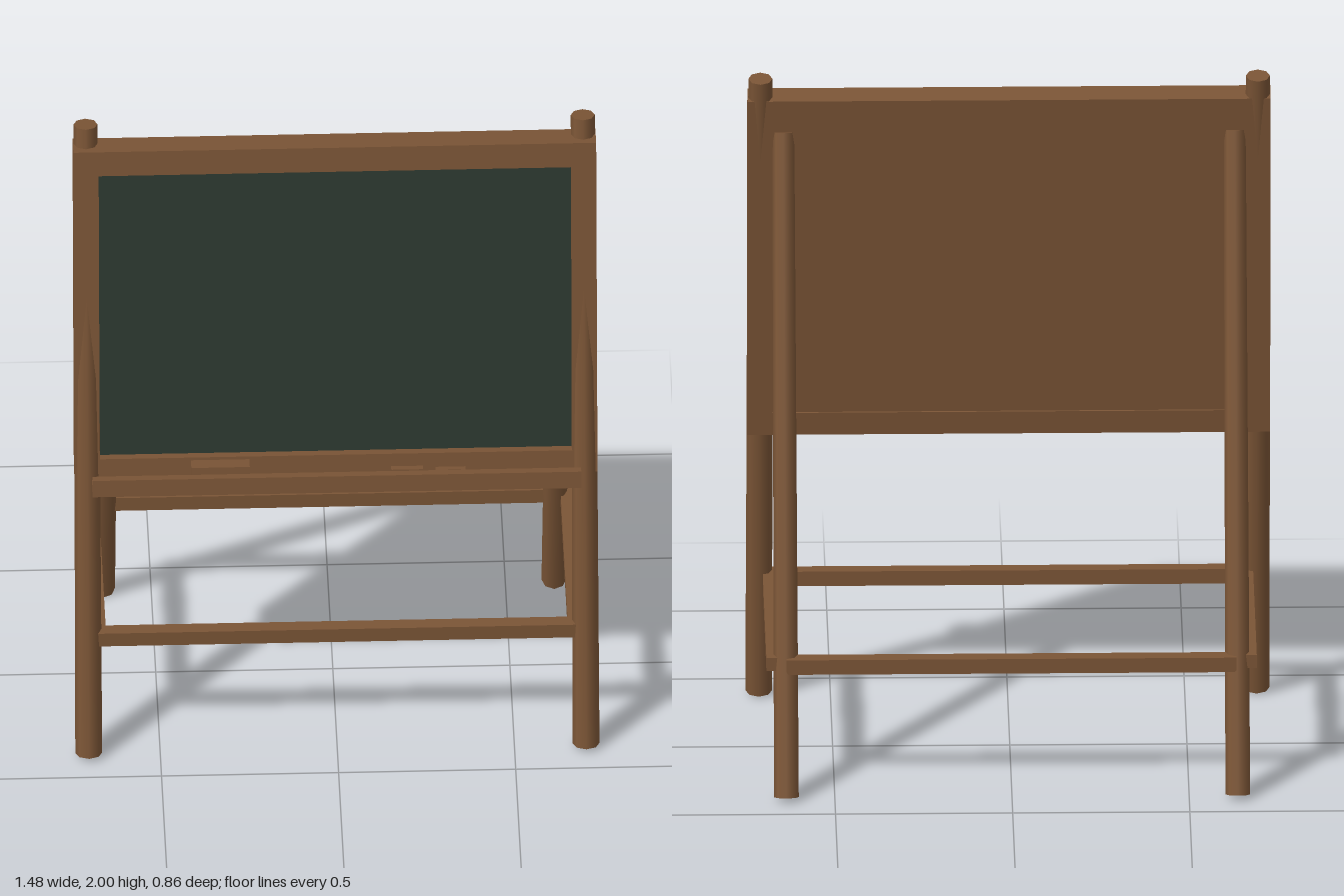
import * as THREE from 'three';

export function createModel() {
  const model = new THREE.Group();
  model.name = 'easelChalkboard';

  const wood = new THREE.MeshStandardMaterial({ color: 0x7b5536 });
  wood.name = 'brown wood';
  const slate = new THREE.MeshStandardMaterial({ color: 0x2d3930 });
  slate.name = 'dark green slate';

  const add = (parent, name, geometry, material = wood) => {
    const mesh = new THREE.Mesh(geometry, material);
    mesh.name = name;
    parent.add(mesh);
    return mesh;
  };

  // Box given by its limits on each axis
  const box = (parent, name, [x0, x1], [y0, y1], [z0, z1], material) => {
    const mesh = add(parent, name, new THREE.BoxGeometry(x1 - x0, y1 - y0, z1 - z0), material);
    mesh.position.set((x0 + x1) / 2, (y0 + y1) / 2, (z0 + z1) / 2);
    return mesh;
  };

  // Tapered round pole leaning in the y-z plane, ends given as [y, z]
  const pole = (name, x, [y0, z0], [y1, z1], rBottom, rTop) => {
    const length = Math.hypot(y1 - y0, z1 - z0);
    const mesh = add(model, name, new THREE.CylinderGeometry(rTop, rBottom, length, 8));
    mesh.position.set(x, (y0 + y1) / 2, (z0 + z1) / 2);
    mesh.rotation.x = Math.atan2(z1 - z0, y1 - y0);
  };

  // Legs and side stretchers, mirrored
  for (const [side, s] of [['left', 1], ['right', -1]]) {
    pole(side + 'FrontLeg', s * 0.702, [0.01, 0.394], [1.995, 0.111], 0.038, 0.034);
    pole(side + 'RearLeg', s * 0.637, [0.01, -0.396], [1.827, 0.122], 0.035, 0.031);
    const x = s * 0.672;
    box(model, side + 'Stretcher', [x - 0.02, x + 0.02], [0.36, 0.4], [-0.31, 0.335]);
  }

  // Cross stretchers
  box(model, 'frontStretcher', [-0.69, 0.69], [0.356, 0.4], [0.322, 0.362]);
  box(model, 'rearStretcher', [-0.635, 0.635], [0.356, 0.4], [-0.33, -0.288]);

  // Leaning board assembly, origin at its lower back edge
  const board = new THREE.Group();
  board.name = 'boardAssembly';
  board.position.set(0, 0.868, 0.204);
  board.rotation.x = -0.1045;
  model.add(board);

  // Frame with a rectangular opening
  const rect = (path, x, y0, y1) =>
    path.moveTo(-x, y0).lineTo(x, y0).lineTo(x, y1).lineTo(-x, y1).closePath();
  const outline = rect(new THREE.Shape(), 0.738, 0, 1.07);
  outline.holes.push(rect(new THREE.Path(), 0.667, 0.07, 0.992));
  add(board, 'frame', new THREE.ExtrudeGeometry(outline, { depth: 0.08, bevelEnabled: false }));

  // Recessed writing surface and its wooden backing
  box(board, 'backPanel', [-0.667, 0.667], [0.07, 0.992], [0.005, 0.048]);
  box(board, 'writingSurface', [-0.667, 0.667], [0.07, 0.992], [0.048, 0.055], slate);

  // Tray with a front lip
  box(board, 'trayShelf', [-0.69, 0.69], [-0.01, 0.014], [0.072, 0.135]);
  box(board, 'trayLip', [-0.69, 0.69], [-0.01, 0.043], [0.131, 0.155]);

  // Eraser and chalk sticks on the tray
  box(board, 'eraser', [-0.41, -0.245], [0.014, 0.063], [0.083, 0.127]);
  box(board, 'chalk', [0.155, 0.245], [0.014, 0.034], [0.088, 0.108]);
  box(board, 'chalk', [0.28, 0.365], [0.014, 0.034], [0.096, 0.114]);

  return model;
}
